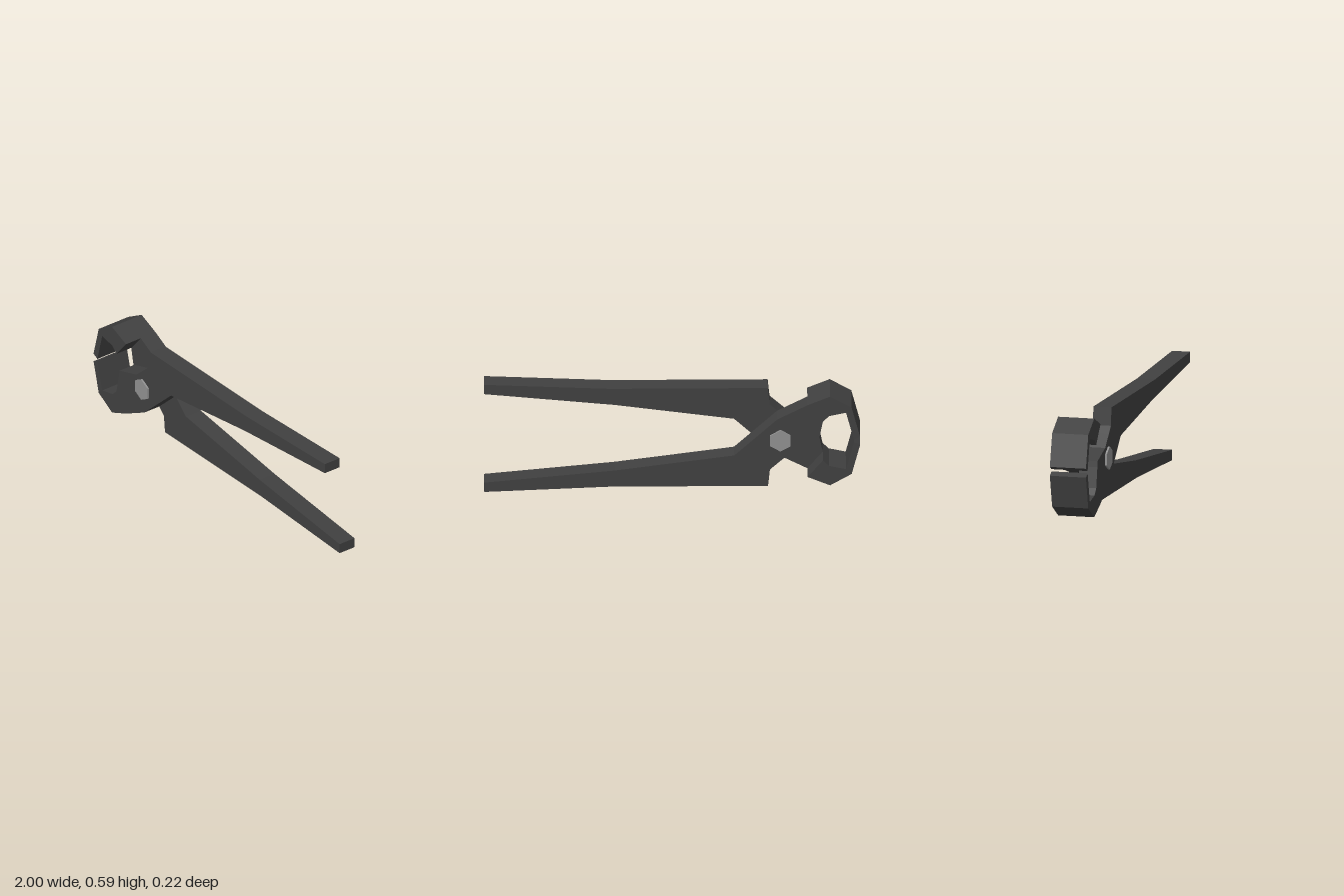
import * as THREE from 'three';

const MID_Y = 0.297;   // height of the pliers' centre line
const THICK = 0.1;     // thickness of one half

function extrude(points, z0, depth) {
  const shape = new THREE.Shape(points.map(([x, y]) => new THREE.Vector2(x, y)));
  const geo = new THREE.ExtrudeGeometry(shape, { depth, bevelEnabled: false });
  geo.translate(0, 0, z0);
  return geo;
}

export function createModel() {
  const steel = new THREE.MeshStandardMaterial({ color: 0x404040 });
  steel.name = 'dark steel';
  const boltMetal = new THREE.MeshStandardMaterial({ color: 0x909090 });
  boltMetal.name = 'bolt grey';

  // Curved cutting jaw, from its root round the outside to the tip and back inside
  const jaw = [
    [-0.72, 0.081], [-0.84, 0.03], [-0.955, 0.098], [-1, 0.273],
    [-0.967, 0.291], [-0.925, 0.127], [-0.835, 0.147], [-0.802, 0.18],
  ];

  // Pivot plate and handle, joined to the jaw's inner edge
  const handle = [
    [-0.78, 0.29], [-0.775, 0.322], [-0.63, 0.367], [-0.56, 0.43], [-0.52, 0.467],
    [-0.51, 0.565], [0.33, 0.565], [1, 0.593], [1, 0.537], [0.305, 0.468],
    [-0.33, 0.381], [-0.56, 0.165],
  ];

  // One half: a plate with handle and jaw, the jaw thickened to full width
  function makeHalf(name) {
    const half = new THREE.Group();
    half.name = name;
    const plate = new THREE.Mesh(extrude([...jaw, ...handle], 0, THICK), steel);
    plate.name = 'handleAndJaw';
    const block = new THREE.Mesh(extrude(jaw, -THICK, THICK), steel);
    block.name = 'jawThickening';
    half.add(plate, block);
    return half;
  }

  const model = new THREE.Group();
  model.name = 'pincers';

  const frontHalf = makeHalf('frontHalf');

  // The other half is the same piece turned over about the long axis
  const backHalf = makeHalf('backHalf');
  backHalf.rotation.x = Math.PI;
  backHalf.position.y = MID_Y * 2;

  // Hexagonal pivot bolt, showing on both sides
  const boltGeo = new THREE.CylinderGeometry(0.063, 0.063, 0.22, 6).toNonIndexed();
  boltGeo.computeVertexNormals();
  boltGeo.rotateX(Math.PI / 2);
  const bolt = new THREE.Mesh(boltGeo, boltMetal);
  bolt.name = 'pivotBolt';
  bolt.position.set(-0.576, 0.303, 0);

  model.add(frontHalf, backHalf, bolt);
  return model;
}
